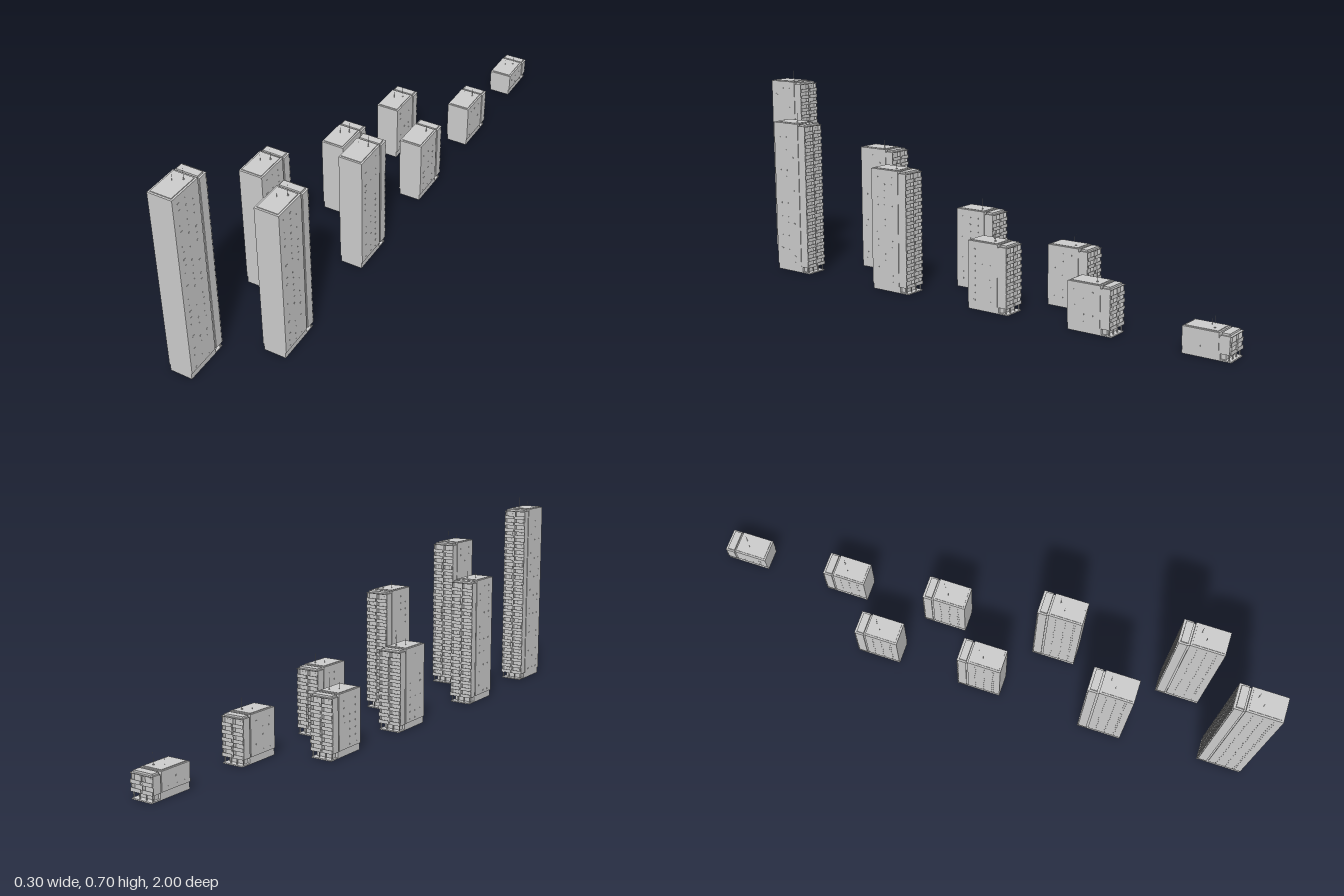
import * as THREE from 'three';
import { mergeGeometries } from 'three/addons/utils/BufferGeometryUtils.js';

const FLOOR = 0.0242, GROUND = 0.023, DEPTH = 0.155;
const material = new THREE.MeshStandardMaterial({ color: 0xcccccc, flatShading: true });

// Box given by its limits on each axis
function block(x0, x1, y0, y1, z0, z1) {
  return new THREE.BoxGeometry(x1 - x0, y1 - y0, z1 - z0)
    .translate((x0 + x1) / 2, (y0 + y1) / 2, (z0 + z1) / 2);
}

function addPart(group, name, geometries) {
  const mesh = new THREE.Mesh(mergeGeometries(geometries), material);
  mesh.name = name;
  group.add(mesh);
}

// One tower: back edge at local z = 0, front wall at z = DEPTH
function createTower(floors) {
  const tower = new THREE.Group();
  const top = 0.0115 + FLOOR * floors;
  const backTop = top - 0.006;

  // Ground storey, set in at the sides, with an open porch under the balconies
  const base = [
    block(-0.038, 0.038, 0, GROUND, 0.035, DEPTH),
    block(-0.038, 0.038, 0, 0.004, 0, 0.035),
    block(-0.03, 0.03, 0.004, GROUND, 0.02, 0.035),
  ];
  for (const x of [-0.036, -0.012, 0.012, 0.036]) {
    base.push(block(x - 0.0015, x + 0.0015, 0.004, GROUND, 0.006, 0.009));
  }
  addPart(tower, 'groundStorey', base);

  // Front block, narrow joint and rear block
  addPart(tower, 'mainBlock', [block(-0.041, 0.041, GROUND, top, 0.039, DEPTH)]);
  addPart(tower, 'recessedJoint', [block(-0.039, 0.039, GROUND, top - 0.01, 0.033, 0.039)]);
  addPart(tower, 'rearBlock', [
    block(-0.042, 0.042, GROUND, backTop, 0.016, 0.033),
    block(-0.036, 0.036, backTop, top, 0.008, 0.033),
  ]);

  // Balconies, their dividing walls and the windows of every storey
  const balconies = [], windows = [];
  for (let i = 0; i < floors - 1; i++) {
    const y = GROUND + i * FLOOR;
    balconies.push(block(-0.0415, 0.0415, y, y + 0.0025, 0, 0.016));
    for (const s of [-1, 1]) {
      const inner = s * 0.003, outer = s * 0.0415;
      const [x0, x1] = s < 0 ? [outer, inner] : [inner, outer];
      balconies.push(block(x0, x1, y + 0.0025, y + 0.012, 0, 0.0015));
      // Doors behind the balconies
      windows.push(block(s * 0.022 - 0.008, s * 0.022 + 0.008, y + 0.004, y + 0.019, 0.0153, 0.0165));
      // Small side windows
      for (const [z, w] of [[0.13, 0.008], [0.098, 0.005], [0.066, 0.005]]) {
        windows.push(block(s * 0.041 - 0.0005, s * 0.041 + 0.0005, y + 0.009, y + 0.013, z - w / 2, z + w / 2));
      }
    }
  }
  addPart(tower, 'balconies', balconies);
  addPart(tower, 'windows', windows);
  addPart(tower, 'balconyWalls', [-0.041, 0, 0.041].map(
    (x) => block(x - 0.001, x + 0.001, GROUND, backTop, 0.004, 0.016)));
  addPart(tower, 'balconyRoof', [block(-0.0415, 0.0415, backTop - 0.0025, backTop, 0, 0.016)]);

  // Raised roof deck and masts
  addPart(tower, 'roofDeck', [block(-0.035, 0.035, top, top + 0.0025, 0.045, DEPTH - 0.006)]);
  const masts = [[-0.01, 0.085, 0.025], [0.014, 0.065, 0.04]].map(([x, z, h]) =>
    new THREE.CylinderGeometry(0.0005, 0.0005, h, 6).translate(x, top + h / 2, z));
  masts.push(block(0.012, 0.016, top, top + 0.005, 0.063, 0.067));
  addPart(tower, 'roofMasts', masts);
  return tower;
}

export function createModel() {
  const model = new THREE.Group();
  model.name = 'towerBlocks';
  // Centre x, back edge z, number of storeys
  const sites = [
    [0.105, -1.0, 3], [0.105, -0.61, 6], [-0.085, -0.415, 8],
    [0.105, -0.23, 9], [-0.09, -0.037, 11], [0.105, 0.18, 17],
    [-0.106, 0.413, 18], [0.105, 0.64, 22], [-0.09, 0.845, 27],
  ];
  sites.forEach(([x, z, floors], i) => {
    const tower = createTower(floors);
    tower.name = `tower${i + 1}`;
    tower.position.set(x, 0, z);
    model.add(tower);
  });
  return model;
}
